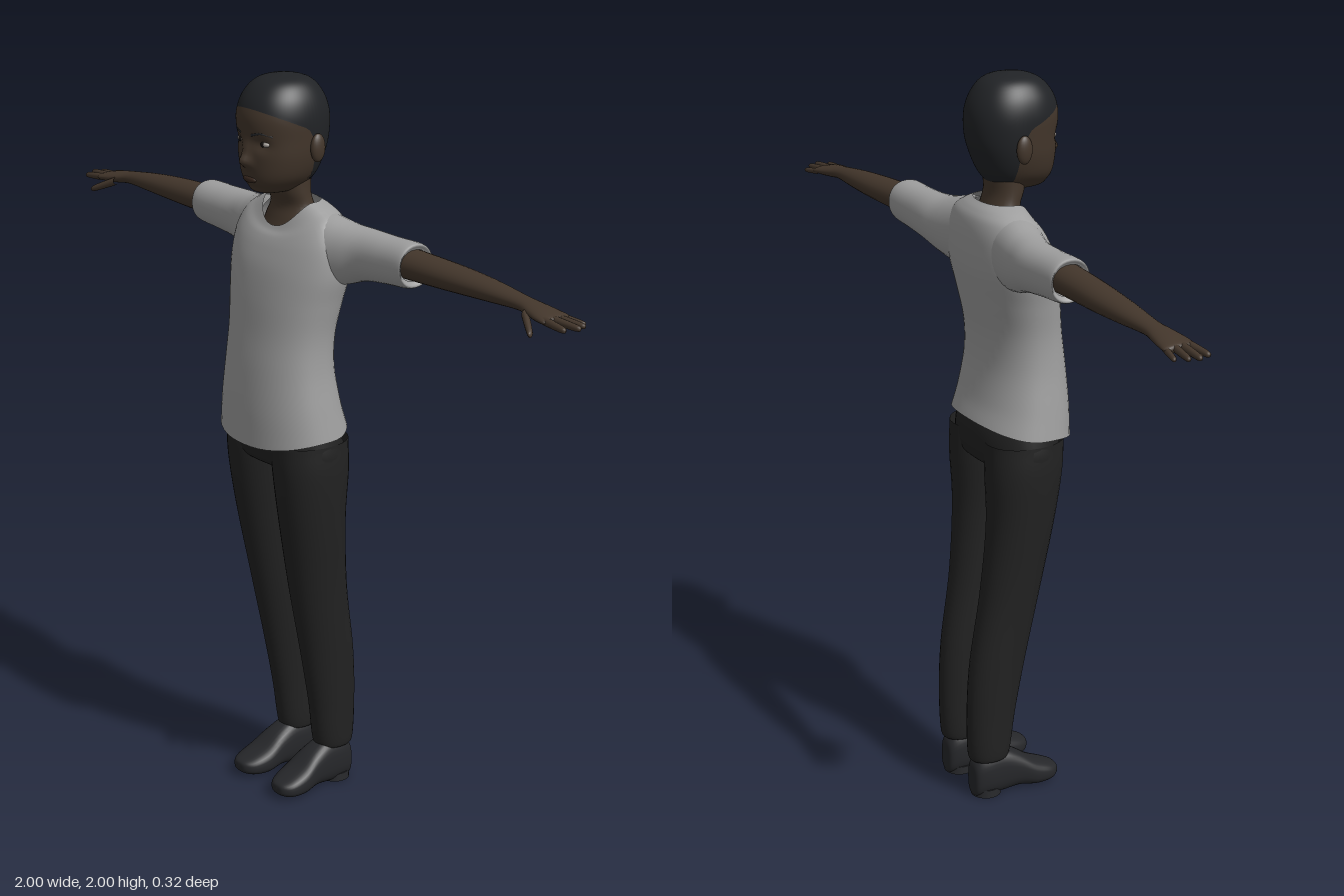
import * as THREE from 'three';

const mat = (name, color, side = THREE.FrontSide) => {
  const m = new THREE.MeshStandardMaterial({ color, side });
  m.name = name;
  return m;
};

// Smooth closed-ring surface: f(t, angle) gives a point, t runs 0..1 along the part.
function surface(f, rows, cols) {
  const pos = [], idx = [];
  for (let i = 0; i <= rows; i++)
    for (let j = 0; j < cols; j++) pos.push(...f(i / rows, (j / cols) * Math.PI * 2));
  for (let i = 0; i < rows; i++)
    for (let j = 0; j < cols; j++) {
      const k = (j + 1) % cols, a = i * cols + j, b = i * cols + k;
      idx.push(a, b, a + cols, b, b + cols, a + cols);
    }
  const g = new THREE.BufferGeometry();
  g.setAttribute('position', new THREE.Float32BufferAttribute(pos, 3));
  g.setIndex(idx);
  g.computeVertexNormals();
  return g;
}

// Returns a function that blends smoothly between rows of key sections.
function blend(keys) {
  const curve = new THREE.CubicInterpolant(keys.map((_, i) => i), new Float32Array(keys.flat()), keys[0].length);
  return (t) => Array.from(curve.evaluate(t * (keys.length - 1)));
}

const pow = (v, e) => Math.sign(v) * Math.abs(v) ** e;

function loft(keys, shape, { rows = 36, cols = 32, e = 1 } = {}) {
  const at = blend(keys);
  return surface((t, a) => shape(at(t), pow(Math.cos(a), e), pow(Math.sin(a), e)), rows, cols);
}

// Section shapes for the body (top to bottom), the arms (outward) and the shoes (heel to toe).
const upright = ([y, xc, hw, front, back, dipF = 0, dipB = 0], c, s) =>
  [xc + hw * c, y + (s > 0 ? dipF : dipB) * s * s, (front + back) / 2 + ((front - back) / 2) * s];
const sideways = ([x, yc, zc, ry, rz], c, s) => [x, yc + ry * c, zc + rz * s];
const forward = ([z, xc, hw, top, bottom], c, s) => [xc + hw * c, (top + bottom) / 2 + ((top - bottom) / 2) * s, z];

function mirrored(geo) {
  const g = geo.clone().applyMatrix4(new THREE.Matrix4().makeScale(-1, 1, 1));
  const ix = g.index.array;
  for (let i = 0; i < ix.length; i += 3) [ix[i], ix[i + 1]] = [ix[i + 1], ix[i]];
  return g;
}

const ellipsoid = (x, y, z, rx, ry, rz) =>
  new THREE.SphereGeometry(1, 20, 14).scale(rx, ry, rz).translate(x, y, z);

export function createModel() {
  const skin = mat('skin', 0x43362b);
  const hair = mat('hair', 0x212326);
  const shirt = mat('shirtGrey', 0x9e9e9e, THREE.DoubleSide);
  const trousers = mat('trouserBlack', 0x222222, THREE.DoubleSide);
  const shoe = mat('shoeBlack', 0x26272a);
  const eyeWhite = mat('eyeWhite', 0xa8a29c);
  const iris = mat('iris', 0x17120f);
  const lip = mat('lip', 0x38281f);

  const root = new THREE.Group();
  root.name = 'figure';
  const add = (name, geo, material) => {
    const m = new THREE.Mesh(geo, material);
    m.name = name;
    root.add(m);
  };
  const pair = (name, geo, material) => {
    add('left' + name, geo, material);
    add('right' + name, mirrored(geo), material);
  };

  // Head: one form, divided into hair and face along the hairline.
  const headAt = blend([
    [2.0, 0, 0, 0.02, 0.02], [1.985, 0, 0.062, 0.085, -0.045], [1.95, 0, 0.094, 0.124, -0.08],
    [1.9, 0, 0.108, 0.143, -0.099], [1.84, 0, 0.106, 0.14, -0.099], [1.79, 0, 0.1, 0.138, -0.085],
    [1.745, 0, 0.085, 0.133, -0.065], [1.715, 0, 0.06, 0.122, -0.04], [1.7, 0, 0.036, 0.1, -0.01],
    [1.698, 0, 0, 0.04, 0.04],
  ]);
  const bump = (v, w) => Math.exp(-((v / w) ** 2));
  const headPoint = (t, a) => {
    const s = Math.sin(a);
    const [x, y, z] = upright(headAt(t / 9), pow(Math.cos(a), 0.93), pow(s, 0.93));
    if (s <= 0) return [x, y, z];
    const nose = 0.022 * bump(x, 0.016) * bump(y - 1.787, 0.016) + 0.01 * bump(x, 0.013) * bump(y - 1.815, 0.025);
    const socket = -0.009 * bump(Math.abs(x) - 0.045, 0.022) * bump(y - 1.833, 0.016);
    const mouth = -0.005 * bump(x, 0.04) * bump(y - 1.718, 0.008);
    return [x, y, z + nose + socket + mouth];
  };
  const hairline = (a) => {
    const s = Math.sin(a);
    return 2.6 + 0.9 * (1 - Math.max(s, 0)) + 3.3 * THREE.MathUtils.smoothstep(-s, -0.05, 0.6);
  };
  add('hair', surface((t, a) => headPoint(t * hairline(a), a), 28, 72), hair);
  add('face', surface((t, a) => headPoint(THREE.MathUtils.lerp(hairline(a), 9, t), a), 44, 72), skin);
  add('lips', ellipsoid(0, 1.738, 0.129, 0.026, 0.009, 0.008), lip);
  pair('Ear', ellipsoid(0.112, 1.82, -0.002, 0.013, 0.037, 0.022), skin);
  pair('Eye', ellipsoid(0.046, 1.834, 0.114, 0.018, 0.008, 0.012), eyeWhite);
  pair('Iris', ellipsoid(0.046, 1.834, 0.123, 0.007, 0.007, 0.004), iris);
  const brow = new THREE.CatmullRomCurve3([
    new THREE.Vector3(0.02, 1.856, 0.138), new THREE.Vector3(0.046, 1.862, 0.129), new THREE.Vector3(0.072, 1.855, 0.11),
  ]);
  pair('Brow', new THREE.TubeGeometry(brow, 12, 0.004, 6), hair);

  // Neck, spreading out under the collar
  add('neck', loft([
    [1.76, 0, 0.066, 0.06, -0.055], [1.7, 0, 0.066, 0.05, -0.047], [1.66, 0, 0.07, 0.036, -0.055],
    [1.625, 0, 0.088, 0.044, -0.07], [1.59, 0, 0.1, 0.058, -0.08],
  ], upright, { rows: 20 }), skin);

  // Shirt body with scooped collar and hem raised at the back
  add('shirtBody', loft([
    [1.672, 0, 0.086, 0.055, -0.07, -0.066, 0], [1.655, 0, 0.125, 0.062, -0.09, -0.06, 0],
    [1.63, 0, 0.165, 0.075, -0.105, -0.05, 0], [1.58, 0, 0.193, 0.09, -0.113, -0.03, 0],
    [1.5, 0, 0.198, 0.107, -0.112, 0, 0], [1.42, 0, 0.183, 0.122, -0.097, 0, 0],
    [1.33, 0, 0.17, 0.133, -0.08, 0, 0], [1.24, 0, 0.172, 0.145, -0.079, 0, 0],
    [1.14, 0, 0.186, 0.154, -0.095, -0.01, 0.01], [1.06, 0, 0.198, 0.156, -0.114, -0.03, 0.03],
  ], upright, { rows: 54, cols: 48, e: 0.9 }), shirt);
  pair('Sleeve', loft([
    [0.08, 1.565, -0.025, 0.093, 0.07], [0.14, 1.556, -0.03, 0.092, 0.072], [0.2, 1.556, -0.043, 0.079, 0.066],
    [0.26, 1.563, -0.055, 0.067, 0.06], [0.34, 1.567, -0.057, 0.061, 0.057], [0.425, 1.571, -0.057, 0.057, 0.056],
    [0.424, 1.572, -0.057, 0.04, 0.046],
  ], sideways, { e: 0.92 }), shirt);

  // Arm and palm
  pair('Arm', loft([
    [0.36, 1.574, -0.056, 0.04, 0.048], [0.5, 1.572, -0.06, 0.036, 0.046], [0.6, 1.57, -0.064, 0.032, 0.043],
    [0.7, 1.567, -0.066, 0.026, 0.036], [0.8, 1.562, -0.066, 0.018, 0.027], [0.85, 1.556, -0.064, 0.017, 0.035],
    [0.89, 1.551, -0.063, 0.015, 0.042], [0.92, 1.548, -0.064, 0.01, 0.04], [0.925, 1.548, -0.064, 0, 0],
  ], sideways, { cols: 24 }), skin);

  // Fingers and thumb: [start, end, radius]
  const digits = {
    Thumb: [[0.84, 1.55, -0.035], [0.905, 1.52, 0.008], 0.011],
    IndexFinger: [[0.905, 1.549, -0.035], [0.982, 1.543, -0.027], 0.0095],
    MiddleFinger: [[0.91, 1.55, -0.055], [0.998, 1.545, -0.06], 0.0095],
    RingFinger: [[0.91, 1.549, -0.075], [0.988, 1.544, -0.085], 0.009],
    LittleFinger: [[0.9, 1.547, -0.094], [0.965, 1.54, -0.109], 0.008],
  };
  for (const [name, [from, to, r]] of Object.entries(digits)) {
    const key = (t, k) => [...from.map((v, i) => v + (to[i] - v) * t), r * k, r * k];
    pair(name, loft([key(0, 1.1), key(0.5, 1), key(0.92, 0.75), key(1, 0)], sideways, { rows: 12, cols: 12 }), skin);
  }

  // Trousers: hips and two legs
  add('hips', loft([
    [1.13, 0, 0.165, 0.115, -0.08], [1.06, 0, 0.18, 0.122, -0.1], [1.0, 0, 0.186, 0.117, -0.1],
    [0.965, 0, 0.165, 0.09, -0.08], [0.95, 0, 0, 0, 0],
  ], upright, { rows: 24, cols: 40, e: 0.9 }), trousers);
  pair('Leg', loft([
    [1.04, 0.094, 0.09, 0.117, -0.1], [0.95, 0.097, 0.089, 0.112, -0.101], [0.8, 0.094, 0.08, 0.09, -0.096],
    [0.6, 0.086, 0.067, 0.054, -0.114], [0.4, 0.082, 0.057, 0.014, -0.146], [0.25, 0.08, 0.051, -0.014, -0.155],
    [0.12, 0.078, 0.047, -0.034, -0.15], [0.122, 0.078, 0.03, -0.055, -0.13],
  ], upright, { rows: 48, e: 0.95 }), trousers);

  // Shoes
  pair('Shoe', loft([
    [-0.143, 0.077, 0, 0.06, 0.03], [-0.14, 0.077, 0.028, 0.1, 0.002], [-0.11, 0.077, 0.041, 0.128, 0],
    [-0.06, 0.078, 0.043, 0.132, 0], [-0.01, 0.079, 0.047, 0.11, 0.006], [0.04, 0.081, 0.053, 0.076, 0],
    [0.085, 0.084, 0.046, 0.056, 0.004], [0.11, 0.085, 0.026, 0.045, 0.014], [0.115, 0.085, 0, 0.032, 0.026],
  ], forward, { e: 0.75 }), shoe);
  pair('Heel', new THREE.CylinderGeometry(0.04, 0.042, 0.022, 20).translate(0.077, 0.011, -0.1), shoe);

  return root;
}
